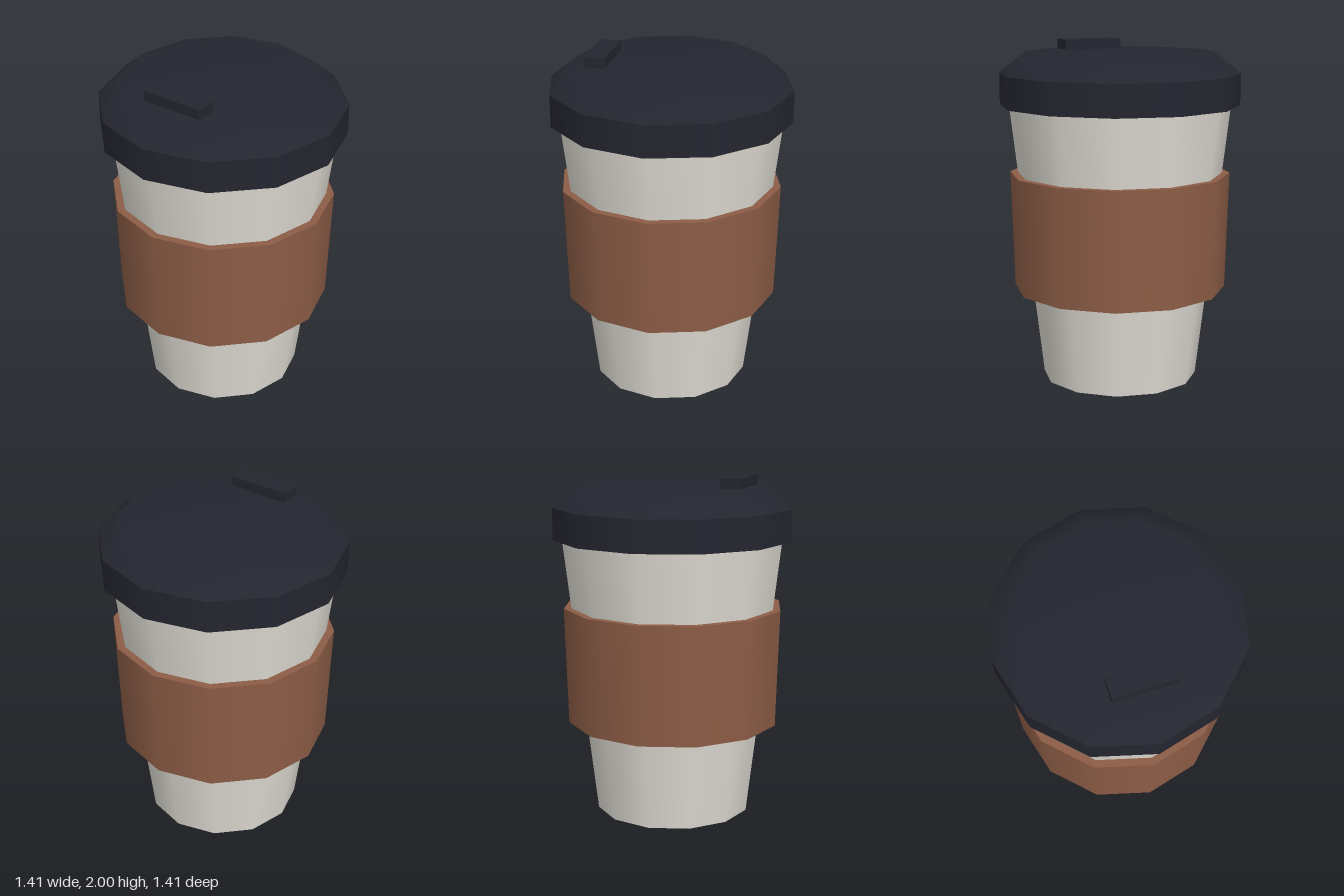
import * as THREE from 'three';

const SIDES = 12;

export function createModel() {
  const cream = new THREE.MeshStandardMaterial({ color: 0xe0ddd4 });
  cream.name = 'cream';
  const brown = new THREE.MeshStandardMaterial({ color: 0x8d5d46 });
  brown.name = 'brown';
  const darkNavy = new THREE.MeshStandardMaterial({ color: 0x252530 });
  darkNavy.name = 'darkNavy';

  const model = new THREE.Group();
  model.name = 'travelCup';

  const add = (parent, name, geometry, material) => {
    const mesh = new THREE.Mesh(geometry, material);
    mesh.name = name;
    parent.add(mesh);
    return mesh;
  };

  // Twelve-sided tapered drum between two heights, smooth around the side
  const drum = (bottomRadius, topRadius, y0, y1, open = false) =>
    new THREE.CylinderGeometry(topRadius, bottomRadius, y1 - y0, SIDES, 1, open)
      .translate(0, (y0 + y1) / 2, 0);

  // Cup and its grip sleeve
  add(model, 'cupBody', drum(0.46, 0.66, 0, 1.7), cream);
  add(model, 'sleeve', drum(0.63, 0.65, 0.545, 1.235), brown);

  // Lid: upright rim, bevelled top with soft shading, raised sip tab
  const lid = new THREE.Group();
  lid.name = 'lid';
  model.add(lid);
  add(lid, 'lidRim', drum(0.705, 0.705, 1.635, 1.82), darkNavy);
  const topProfile = [[0.705, 1.82], [0.555, 1.942], [0, 1.942]]
    .map(([r, y]) => new THREE.Vector2(r, y));
  add(lid, 'lidTop', new THREE.LatheGeometry(topProfile, SIDES), darkNavy);
  add(lid, 'sipTab', new THREE.BoxGeometry(0.37, 0.08, 0.122), darkNavy)
    .position.set(0, 1.96, 0.396);

  return model;
}
